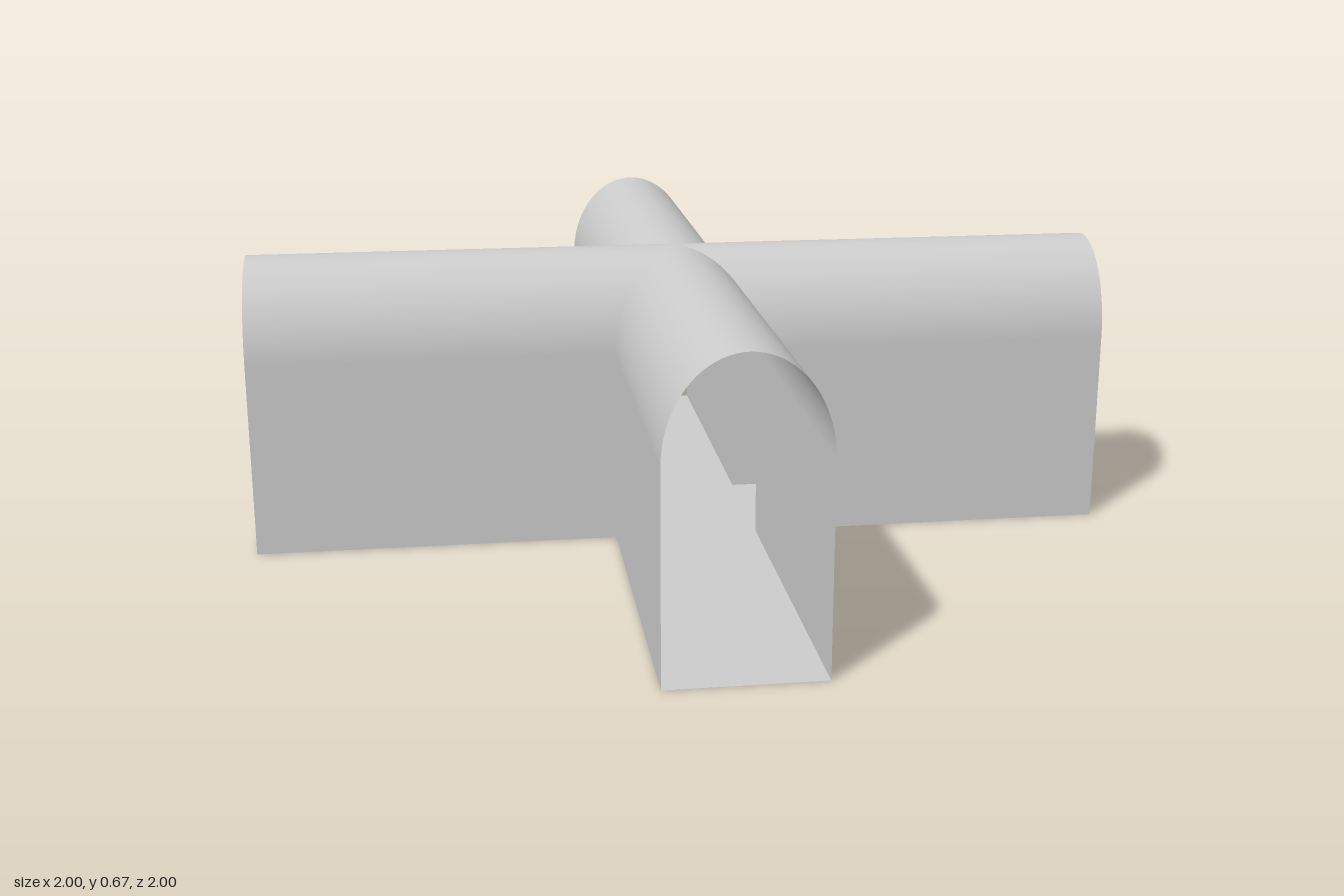
import * as THREE from 'three';

const HALF = 0.167;   // half width of each tunnel
const SPRING = 0.45;  // height where the arch starts
const TOP = 0.667;    // crown height
const STEPS = 40;

// Arched cross-section with its outward normals, from the +x foot to the -x foot
function archProfile() {
  const rise = TOP - SPRING;
  const points = [{ x: HALF, y: 0, nx: 1, ny: 0 }];
  for (let i = 0; i <= STEPS; i++) {
    const t = (i / STEPS) * Math.PI;
    const n = new THREE.Vector2(Math.cos(t) / HALF, Math.sin(t) / rise).normalize();
    points.push({ x: HALF * Math.cos(t), y: SPRING + rise * Math.sin(t), nx: n.x, ny: n.y });
  }
  points.push({ x: -HALF, y: 0, nx: -1, ny: 0 });
  return points;
}

// One open vaulted arm, mitred on the diagonals where the tunnels cross
function armGeometry() {
  const positions = [], normals = [], index = [];
  const profile = archProfile();
  profile.forEach((p, i) => {
    positions.push(p.x, p.y, Math.abs(p.x), p.x, p.y, 1);
    normals.push(p.nx, p.ny, 0, p.nx, p.ny, 0);
    if (i < profile.length - 1) {
      const a = 2 * i;
      index.push(a, a + 2, a + 1, a + 1, a + 2, a + 3);
    }
  });
  const geometry = new THREE.BufferGeometry();
  geometry.setAttribute('position', new THREE.Float32BufferAttribute(positions, 3));
  geometry.setAttribute('normal', new THREE.Float32BufferAttribute(normals, 3));
  geometry.setIndex(index);
  return geometry;
}

// Flat cross-shaped floor
function floorGeometry() {
  const corners = [];
  for (let k = 0; k < 4; k++) {
    for (const [x, y] of [[1, -HALF], [1, HALF], [HALF, HALF]]) {
      corners.push(new THREE.Vector2(x, y).rotateAround(new THREE.Vector2(), k * Math.PI / 2));
    }
  }
  return new THREE.ShapeGeometry(new THREE.Shape(corners)).rotateX(-Math.PI / 2);
}

export function createModel() {
  const group = new THREE.Group();
  group.name = 'crossTunnel';
  const grey = new THREE.MeshStandardMaterial({ color: 0xcccccc, side: THREE.DoubleSide });
  grey.name = 'light grey';

  // Four identical arms around the crossing
  const arm = armGeometry();
  ['frontArm', 'leftArm', 'backArm', 'rightArm'].forEach((name, k) => {
    const mesh = new THREE.Mesh(arm, grey);
    mesh.name = name;
    mesh.rotation.y = k * Math.PI / 2;
    group.add(mesh);
  });

  const floor = new THREE.Mesh(floorGeometry(), grey);
  floor.name = 'floor';
  group.add(floor);
  return group;
}
